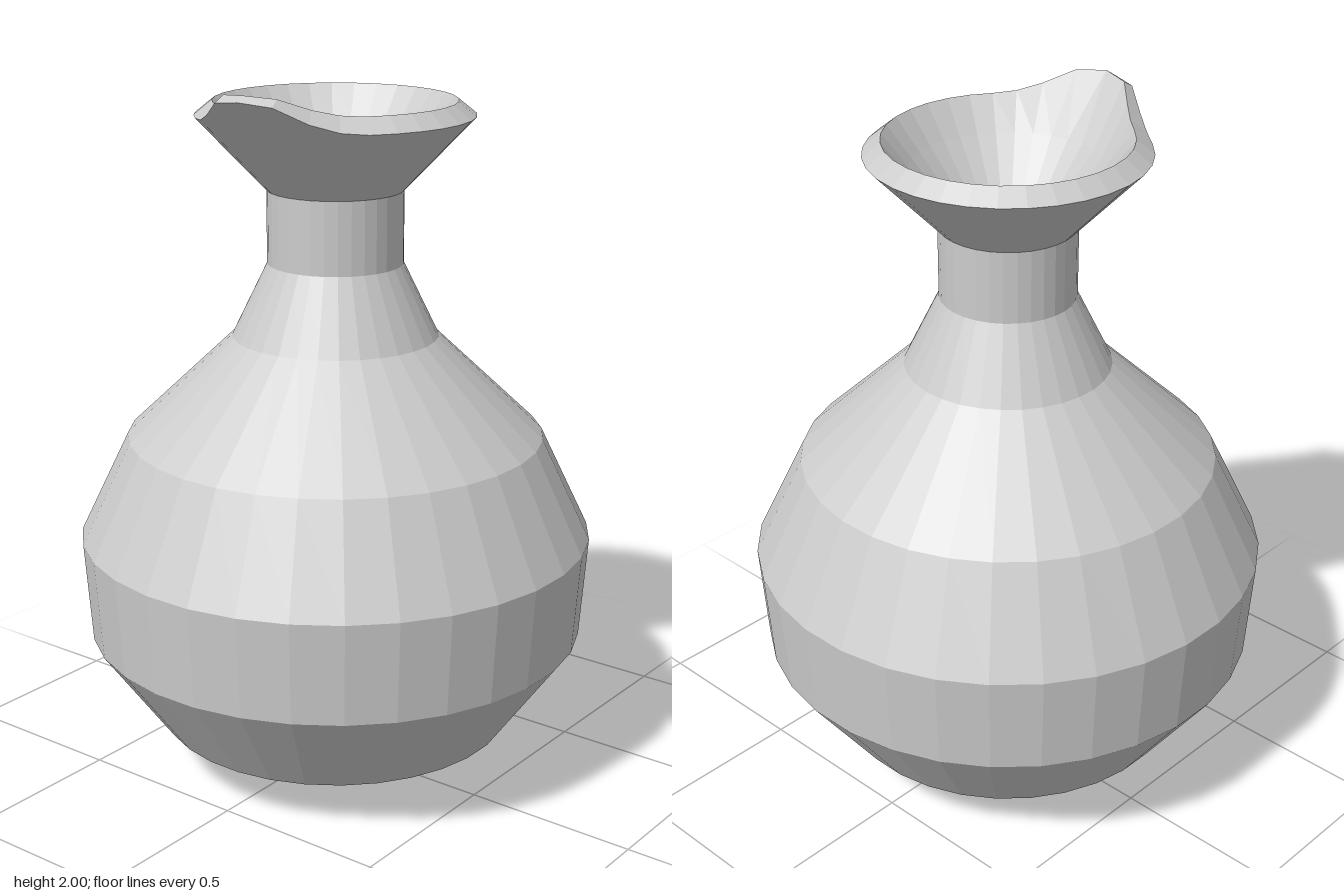
import * as THREE from 'three';

const SIDES = 32;
const STEP = (Math.PI * 2) / SIDES;

// Lathe with one flat normal per facet; half-step start puts flats on the axes
function turned(points, reshape) {
  const g = new THREE.LatheGeometry(points.map(([r, y]) => new THREE.Vector2(r, y)), SIDES, STEP / 2);
  if (reshape) reshape(g.attributes.position);
  const flat = g.toNonIndexed();
  flat.computeVertexNormals();
  return flat;
}

// Pulls the rim outward and upward around one facet corner to form the pouring lip
const PULL = [1, 0.78, 0.32, 0.07, 0];
const LIFT = [1, 0.88, 0.36, 0.08, 0];
function spout(out, up, rimY) {
  return (p) => {
    for (let i = 0; i < p.count; i++) {
      const x = p.getX(i), y = p.getY(i), z = p.getZ(i);
      const k = rimY.findIndex((v) => Math.abs(v - y) < 1e-4);
      if (k < 0) continue;
      const a = Math.atan2(x, z) - STEP / 2;
      const n = Math.min(4, Math.round(Math.abs(Math.atan2(Math.sin(a), Math.cos(a))) / STEP));
      const r = Math.hypot(x, z);
      const s = (r + out[k] * PULL[n]) / r;
      p.setXYZ(i, x * s, y + up[k] * LIFT[n], z * s);
    }
  };
}

export function createModel() {
  const model = new THREE.Group();
  const clay = new THREE.MeshStandardMaterial({ color: 0xcccccc });
  clay.name = 'pale grey clay';

  const add = (name, geometry) => {
    const mesh = new THREE.Mesh(geometry, clay);
    mesh.name = name;
    model.add(mesh);
    return mesh;
  };

  // Round belly and shoulders
  add('body', turned([[0.22, 0], [0.51, 0.14], [0.71, 0.42], [0.73, 0.71], [0.59, 1.0], [0.29, 1.285], [0.19, 1.49]]));

  // Straight neck
  add('neck', turned([[0.19, 1.49], [0.19, 1.695]]));

  // Flared mouth: outer wall, bevelled rim and inner funnel
  add('mouth', turned(
    [[0.19, 1.695], [0.385, 1.9], [0.335, 1.94], [0.265, 1.85], [0.14, 1.7]],
    spout([0.082, 0.107], [0.085, 0.06], [1.9, 1.94]),
  ));

  // Hollow inside
  add('cavity', turned([
    [0.14, 1.7], [0.14, 1.48], [0.24, 1.26], [0.54, 0.98],
    [0.67, 0.7], [0.65, 0.44], [0.46, 0.2], [0.065, 0.05],
  ]));

  // Flat discs closing the base and the cavity floor
  const disc = (r) => new THREE.CircleGeometry(r, SIDES, STEP / 2);
  add('base', disc(0.22)).rotation.x = Math.PI / 2;
  const floor = add('cavityFloor', disc(0.065));
  floor.rotation.x = -Math.PI / 2;
  floor.position.y = 0.05;

  return model;
}
